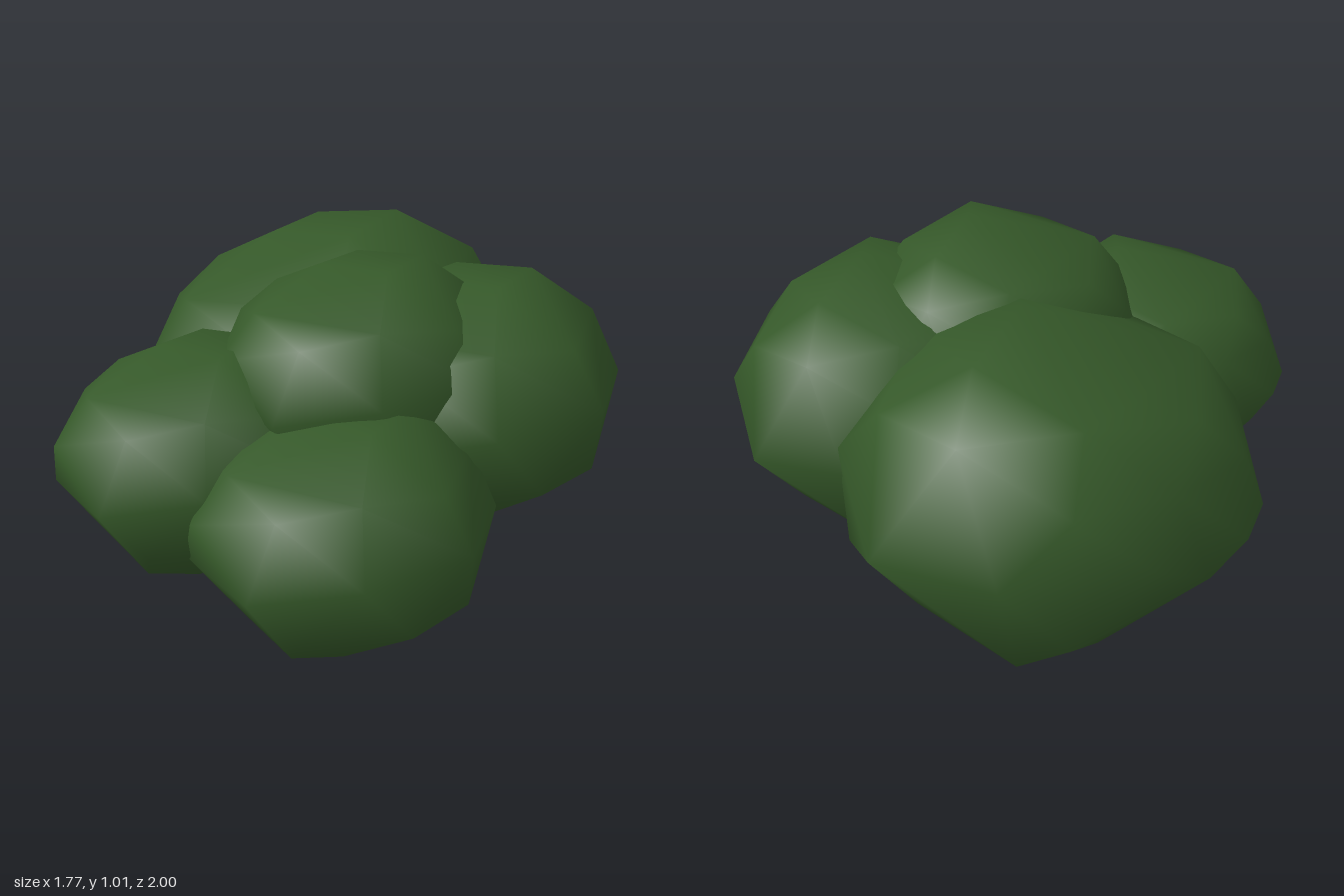
import * as THREE from 'three';
import { ConvexGeometry } from 'three/addons/geometries/ConvexGeometry.js';
import { mergeVertices } from 'three/addons/utils/BufferGeometryUtils.js';

// Corners of one uneven foliage lump in a 2 x 2 x 2 box, from crown to base
const LUMP = [
  // crown
  [0.15, 0.99, 0.2], [0.48, 0.95, -0.22], [-0.2, 0.82, -0.45], [0.1, 0.84, -0.65],
  // upper ring
  [0, 0.72, 0.73], [-0.5, 0.55, 0.6], [-0.73, 0.66, 0.1], [-0.5, 0.68, -0.5], [-0.75, 0.4, -0.55],
  [-0.3, 0.5, -0.82], [0.2, 0.5, -0.92], [0.62, 0.7, -0.55], [0.87, 0.61, -0.15], [0.55, 0.6, 0.5],
  // waist
  [-0.03, 0.2, 1], [-0.7, 0, 0.77], [-0.97, 0.24, 0.08], [-0.99, -0.27, -0.25],
  [-0.9, 0, -0.52], [-0.73, 0, -0.75], [-0.5, -0.1, -0.89], [-0.2, 0.1, -0.97],
  [0.15, -0.4, -1], [0.52, 0.13, -1], [0.98, 0, -0.6], [1, 0.18, 0.05], [0.69, 0.2, 0.69],
  // lower ring
  [0.3, -0.35, 0.84], [-0.4, -0.35, 0.84], [0.75, -0.45, 0.4], [0.96, -0.4, -0.1],
  [-0.4, -0.72, 0.5], [-0.63, -0.77, -0.12], [-0.75, -0.5, -0.45],
  // base
  [-0.05, -0.86, 0.37], [0.49, -0.85, -0.1], [0, -1, -0.23], [0.7, -0.6, -0.42],
  [0.3, -0.82, -0.75], [-0.15, -0.92, -0.6],
];

// Skin over the corners, with shared vertices for smooth normals
function foliageGeometry() {
  const hull = new ConvexGeometry(LUMP.map((p) => new THREE.Vector3(...p)));
  hull.deleteAttribute('normal');
  const geo = mergeVertices(hull);
  geo.computeVertexNormals();
  return geo;
}

export function createModel() {
  const leaves = new THREE.MeshStandardMaterial({ color: 0x355829 });
  leaves.name = 'leaf green';
  const bark = new THREE.MeshStandardMaterial({ color: 0x3f2b1b, side: THREE.DoubleSide });
  bark.name = 'bark brown';

  const model = new THREE.Group();
  model.name = 'bush';

  // Foliage clumps: name, centre, half sizes, sideways lean
  const clumps = [
    ['frontFoliage', [-0.075, 0.365, 0.555], [0.445, 0.355, 0.445], 0],
    ['rightFoliage', [-0.445, 0.425, 0.125], [0.445, 0.365, 0.445], 0],
    ['topFoliage', [0.055, 0.655, 0.095], [0.445, 0.357, 0.445], 0],
    ['leftFoliage', [0.385, 0.54, 0.07], [0.5, 0.4, 0.495], 0],
    ['backFoliage', [0.04, 0.505, -0.4], [0.62, 0.465, 0.6], 0.1],
  ];
  const lump = foliageGeometry();
  for (const [name, centre, half, lean] of clumps) {
    const clump = new THREE.Mesh(lump, leaves);
    clump.name = name;
    clump.position.set(...centre);
    clump.scale.set(...half);
    clump.rotation.z = lean;
    model.add(clump);
  }

  // Short open stems rising into the foliage: name, x, z
  const stems = [
    ['frontStem', 0, 0.2],
    ['rightStem', -0.18, -0.01],
    ['leftStem', 0.22, -0.05],
    ['backStem', 0.04, -0.29],
  ];
  const height = 0.4;
  const stemGeo = new THREE.CylinderGeometry(0.045, 0.053, height, 6, 1, true);
  for (const [name, x, z] of stems) {
    const stem = new THREE.Mesh(stemGeo, bark);
    stem.name = name;
    stem.position.set(x, height / 2, z);
    model.add(stem);
  }
  return model;
}
